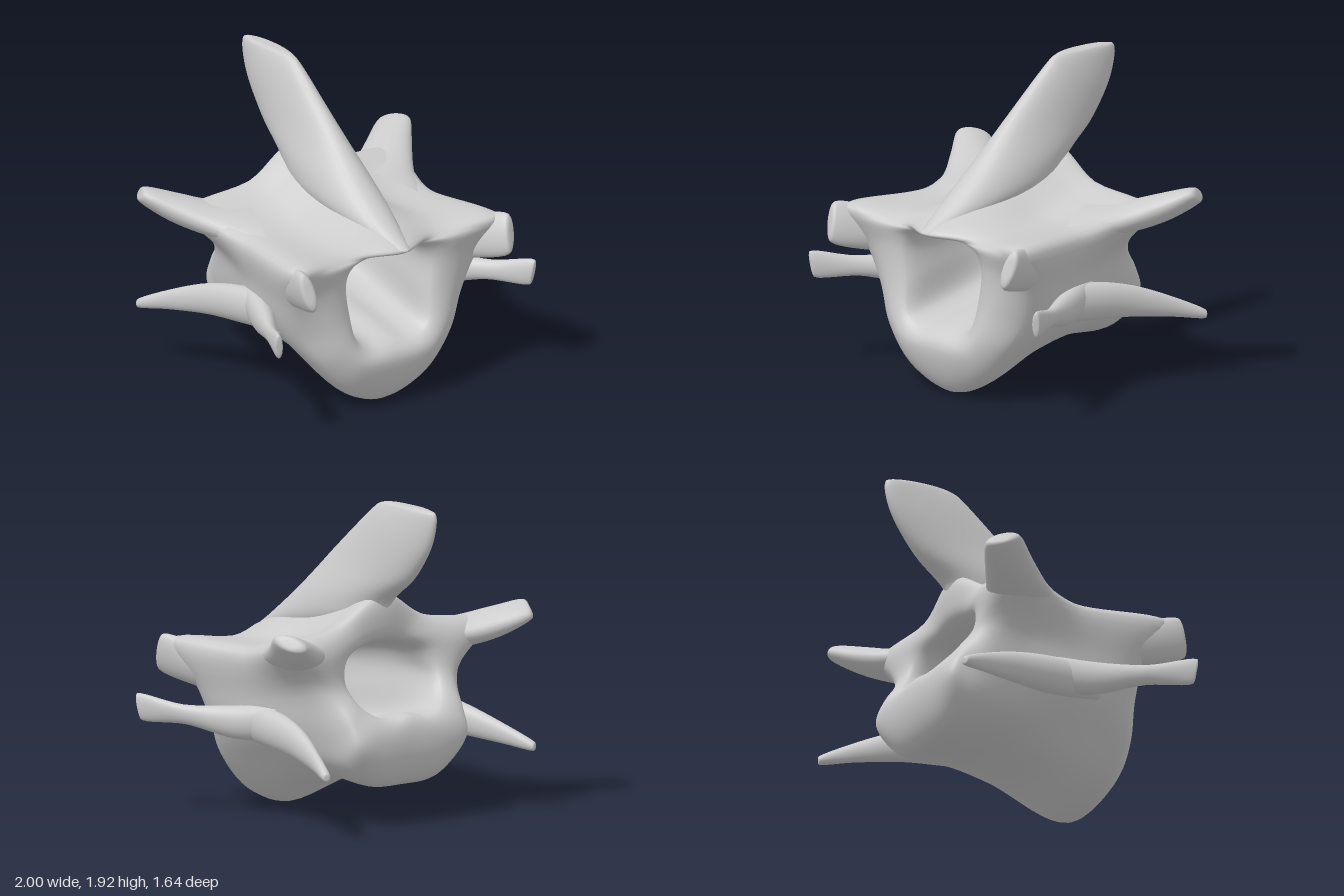
import * as THREE from 'three';

const V = (p) => new THREE.Vector3(...p);

// Smooth skin through a list of rings (arrays of points); ends may join up
function loft(rings, closed, aroundSteps, alongSteps) {
  const around = rings.map((r) => {
    const curve = new THREE.CatmullRomCurve3(r, true, 'centripetal');
    return Array.from({ length: aroundSteps }, (_, j) => curve.getPoint(j / aroundSteps));
  });
  const rows = closed ? alongSteps : alongSteps + 1;
  const pos = new Array(rows * aroundSteps * 3);
  for (let j = 0; j < aroundSteps; j++) {
    const curve = new THREE.CatmullRomCurve3(around.map((r) => r[j]), closed, 'centripetal');
    for (let i = 0; i < rows; i++) curve.getPoint(i / alongSteps).toArray(pos, (i * aroundSteps + j) * 3);
  }
  const index = [];
  for (let i = 0; i < alongSteps; i++) {
    for (let j = 0; j < aroundSteps; j++) {
      const i2 = (i + 1) % rows, j2 = (j + 1) % aroundSteps;
      const a = i * aroundSteps + j, b = i2 * aroundSteps + j;
      const c = i * aroundSteps + j2, d = i2 * aroundSteps + j2;
      index.push(a, b, c, b, d, c);
    }
  }
  const g = new THREE.BufferGeometry();
  g.setAttribute('position', new THREE.Float32BufferAttribute(pos, 3));
  g.setIndex(index);
  g.computeVertexNormals();
  return g;
}

// Half outline on +x, from bottom centre to top centre, mirrored into a full ring
function mirrorRing(half) {
  const pts = half.map(V);
  const back = half.slice(1, -1).reverse().map(([x, y, z]) => V([-x, y, z]));
  return [...pts, ...back];
}

// Tapering blade: each section is [edge point, opposite edge point, half thickness]
function blade(sections, side = 1) {
  const flip = ([x, y, z]) => V([x * side, y, z]);
  const secs = sections.map(([a, b, t]) => {
    const A = flip(a), B = flip(b);
    return { c: A.clone().add(B).multiplyScalar(0.5), w: A.clone().sub(B).multiplyScalar(0.5), t };
  });
  const last = secs.length - 1;
  const dir = (i) => secs[Math.min(i + 1, last)].c.clone().sub(secs[Math.max(i - 1, 0)].c).normalize();
  const rings = secs.map(({ c, w, t }, i) => {
    const n = dir(i).cross(w).normalize().multiplyScalar(t);
    return Array.from({ length: 16 }, (_, k) => {
      const a = -k / 16 * Math.PI * 2;
      return c.clone().addScaledVector(w, Math.cos(a)).addScaledVector(n, Math.sin(a));
    });
  });
  // Rounded end: a slightly smaller ring, then a point
  const { c, t } = secs[last], d = dir(last);
  rings.push(rings[last].map((p) => p.clone().lerp(c, 0.25).addScaledVector(d, t * 0.4)));
  rings.push(rings[last].map(() => c.clone().addScaledVector(d, t * 0.5)));
  return loft(rings, false, 32, (rings.length - 1) * 6);
}

// Outside of the body, front to back; the upper corners flare into prongs and arms
const outer = [
  [[0, .3, .68], [.25, .32, .68], [.36, .42, .66], [.45, .62, .63], [.52, .85, .64], [.6, .99, .69], [.28, 1, .63], [0, 1.02, .75]],
  [[0, .012, .53], [.27, .11, .55], [.48, .34, .55], [.6, .55, .5], [.68, .78, .55], [.75, 1.04, .69], [.38, 1.04, .55], [0, 1.1, .62]],
  [[0, .17, .13], [.25, .22, .1], [.45, .38, .1], [.59, .56, .1], [.64, .76, .1], [.69, 1.03, .1], [.34, 1.07, .1], [0, 1.26, .1]],
  [[0, .24, -.16], [.25, .27, -.16], [.44, .39, -.16], [.54, .58, -.16], [.6, .8, -.15], [.74, 1.07, -.14], [.34, 1.14, -.15], [0, 1.32, -.15]],
  [[0, .25, -.55], [.25, .27, -.55], [.43, .4, -.52], [.49, .58, -.48], [.57, .86, -.38], [.81, 1.11, -.36], [.33, 1.2, -.34], [0, 1.36, -.36]],
];
// Rear rim, then the inside of the canal from back to front
const inner = [
  [[0, .45, -.65], [.25, .46, -.65], [.42, .52, -.63], [.44, .66, -.57], [.46, .85, -.46], [.6, 1.07, -.46], [.25, 1.16, -.38], [0, 1.2, -.39]],
  [[0, .655, -.6], [.13, .64, -.6], [.25, .67, -.57], [.33, .75, -.5], [.36, .87, -.42], [.31, 1, -.38], [.15, 1.07, -.35], [0, 1.09, -.35]],
  [[0, .53, 0], [.17, .51, 0], [.28, .56, 0], [.33, .72, 0], [.35, .87, 0], [.3, .97, 0], [.16, 1.01, 0], [0, 1.02, 0]],
  [[0, .4, .62], [.16, .4, .62], [.26, .46, .62], [.3, .65, .59], [.32, .85, .59], [.27, .94, .59], [.15, .98, .6], [0, .98, .64]],
];

const spine = [
  [[0, 1.03, .77], [0, 1.16, -.36], .12],
  [[0, 1.14, .6], [0, 1.24, -.38], .17],
  [[0, 1.33, .35], [0, 1.32, -.41], .17],
  [[0, 1.6, .05], [0, 1.48, -.62], .12],
  [[0, 1.87, -.27], [0, 1.72, -.79], .08],
  [[0, 1.905, -.32], [0, 1.89, -.82], .055],
];

const pairs = {
  rearArm: [
    [[.6, 1, .2], [.36, 1.1, -.33], .06],
    [[.74, 1.05, -.12], [.54, 1.06, -.45], .09],
    [[.88, 1.14, -.33], [.72, 1.09, -.57], .085],
    [[.99, 1.22, -.49], [.89, 1.16, -.67], .05],
  ],
  frontProng: [
    [[.62, .98, .2], [.58, .72, .25], .06],
    [[.69, 1.02, .5], [.63, .76, .55], .075],
    [[.77, 1.07, .74], [.73, .84, .81], .045],
  ],
  sideSpurFront: [
    [[.56, .72, -.05], [.54, .5, 0], .07],
    [[.68, .69, .24], [.65, .49, .22], .07],
    [[.83, .68, .5], [.8, .56, .5], .04],
    [[.96, .73, .76], [.94, .57, .74], .025],
  ],
  sideSpurRear: [
    [[.6, .7, .3], [.58, .5, .3], .05],
    [[.61, .69, -.05], [.59, .46, -.02], .08],
    [[.66, .63, -.33], [.65, .44, -.3], .06],
    [[.755, .52, -.6], [.745, .405, -.58], .035],
    [[.83, .43, -.77], [.82, .375, -.77], .025],
  ],
};

export function createModel() {
  const group = new THREE.Group();
  group.name = 'vertebra';
  const bone = new THREE.MeshStandardMaterial({ color: 0xcccccc, side: THREE.DoubleSide });
  const add = (name, geometry) => {
    const mesh = new THREE.Mesh(geometry, bone);
    mesh.name = name;
    group.add(mesh);
  };

  // Body with the canal running through it
  add('body', loft([...outer, ...inner].map(mirrorRing), true, 84, 90));
  // Tall swept-back blade on top
  add('spine', blade(spine));
  // Mirrored arms, prongs and side spurs
  for (const [name, sections] of Object.entries(pairs)) {
    add(name + 'Left', blade(sections, 1));
    add(name + 'Right', blade(sections, -1));
  }
  return group;
}
